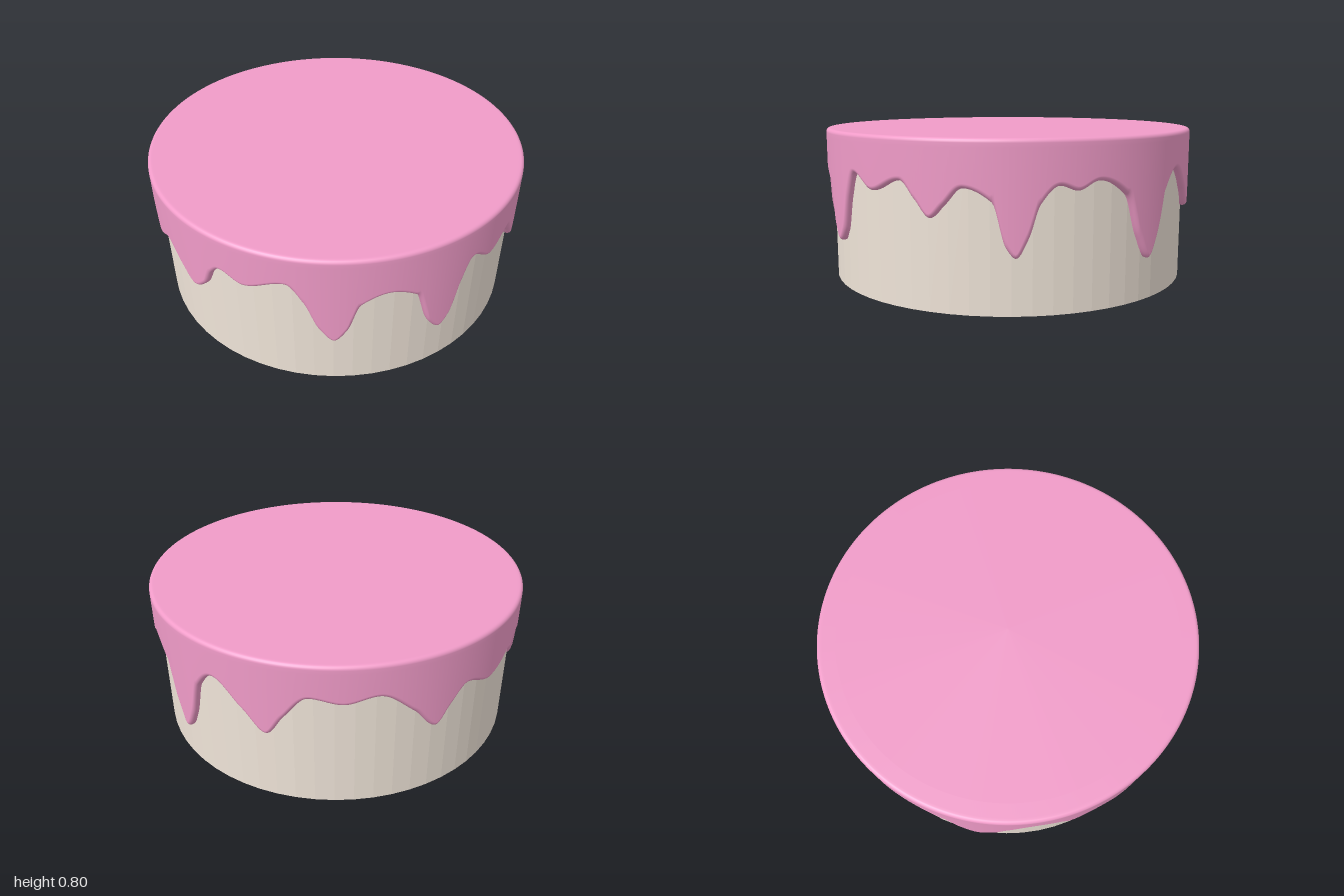
import * as THREE from 'three';

// Lower edge of the icing: [degrees from the front towards +x, height]
const EDGE = [
  [-2.5, 0.56], [9.8, 0.63], [14.5, 0.53], [18.5, 0.37], [22.8, 0.29], [26.5, 0.36], [30, 0.52],
  [37.5, 0.575], [45.5, 0.52], [50, 0.31], [53.5, 0.25], [57, 0.31], [60, 0.48], [64, 0.61],
  [72, 0.54], [82, 0.6], [86.5, 0.52], [91, 0.44], [95, 0.5], [100, 0.58], [107.5, 0.52],
  [111, 0.32], [113.7, 0.27], [117, 0.36], [120, 0.51], [125, 0.59], [130, 0.565], [136, 0.605],
  [145, 0.53], [149.5, 0.33], [154, 0.21], [158, 0.32], [161.5, 0.52], [168, 0.62],
  [177, 0.5], [184, 0.39], [189, 0.5], [196, 0.62], [205, 0.59], [214, 0.625], [224, 0.51],
  [231, 0.39], [236, 0.49], [241, 0.565], [251, 0.51], [269, 0.61], [279, 0.53],
  [284, 0.36], [289, 0.28], [295, 0.36], [299, 0.5], [307, 0.63], [313, 0.58], [318, 0.48],
  [326.5, 0.54], [333, 0.46], [339, 0.39], [344, 0.45], [347, 0.55], [350.5, 0.6],
];

const N = EDGE.length;
const key = (i) => {
  const k = ((i % N) + N) % N;
  return [EDGE[k][0] + 360 * Math.floor(i / N), EDGE[k][1]];
};
const secant = (i) => {
  const a = key(i), b = key(i + 1);
  return (b[1] - a[1]) / (b[0] - a[0]);
};
// Flat at every peak and drip tip, harmonic mean elsewhere
const slopeAt = (i) => {
  const p = secant(i - 1), q = secant(i);
  return p * q <= 0 ? 0 : (2 * p * q) / (p + q);
};

function edgeHeight(deg) {
  if (deg >= EDGE[0][0] + 360) deg -= 360;
  let i = 0;
  while (key(i + 1)[0] <= deg) i++;
  const [a, ya] = key(i), [b, yb] = key(i + 1);
  const h = b - a, t = (deg - a) / h, t2 = t * t, t3 = t2 * t;
  return (2 * t3 - 3 * t2 + 1) * ya + (t3 - 2 * t2 + t) * h * slopeAt(i)
    + (3 * t2 - 2 * t3) * yb + (t3 - t2) * h * slopeAt(i + 1);
}

// Cross-section of the icing at one angle, from the top centre to the underside
function section(deg) {
  const y = edgeHeight(deg);
  const slope = (edgeHeight(deg + 0.4) - edgeHeight(deg)) / THREE.MathUtils.degToRad(0.4);
  const drop = 0.022 * Math.min(Math.hypot(1, slope), 3);
  const pts = [[0, 0.8], [0.9, 0.8], [0.97, 0.8]];
  const steps = 5;
  for (let k = 0; k <= steps; k++) {
    const t = (k / steps) * Math.PI / 2;
    pts.push([0.98 + 0.02 * Math.sin(t), 0.78 + 0.02 * Math.cos(t)]);
  }
  pts.push([1, 0.76]);
  for (let k = 0; k <= steps; k++) {
    const t = (k / steps) * Math.PI / 2;
    pts.push([0.978 + 0.022 * Math.cos(t), y + drop * (1 - Math.sin(t))]);
  }
  pts.push([0.955, y + 0.003]);
  return pts;
}

function icingGeometry(segments = 720) {
  const positions = [], index = [];
  let rows = 0;
  for (let i = 0; i < segments; i++) {
    const deg = (i / segments) * 360, a = THREE.MathUtils.degToRad(deg);
    const pts = section(deg);
    rows = pts.length;
    for (const [r, y] of pts) positions.push(r * Math.sin(a), y, r * Math.cos(a));
  }
  for (let i = 0; i < segments; i++) {
    const p = i * rows, q = ((i + 1) % segments) * rows;
    for (let j = 0; j < rows - 1; j++) {
      index.push(p + j + 1, q + j + 1, p + j);
      if (j > 0) index.push(q + j + 1, q + j, p + j);
    }
  }
  const geometry = new THREE.BufferGeometry();
  geometry.setAttribute('position', new THREE.Float32BufferAttribute(positions, 3));
  geometry.setIndex(index);
  geometry.computeVertexNormals();
  return geometry;
}

export function createModel() {
  const group = new THREE.Group();
  group.name = 'cake';

  // Sponge drum with faceted sides
  const sponge = new THREE.Mesh(
    new THREE.CylinderGeometry(0.966, 0.966, 0.78, 64),
    new THREE.MeshStandardMaterial({ color: 0xefe4d8, flatShading: true }),
  );
  sponge.position.y = 0.39;
  sponge.name = 'sponge';

  // Icing cap with drips running down the side
  const icing = new THREE.Mesh(
    icingGeometry(),
    new THREE.MeshStandardMaterial({ color: 0xf09bc8, side: THREE.DoubleSide }),
  );
  icing.name = 'icing';

  group.add(sponge, icing);
  return group;
}
